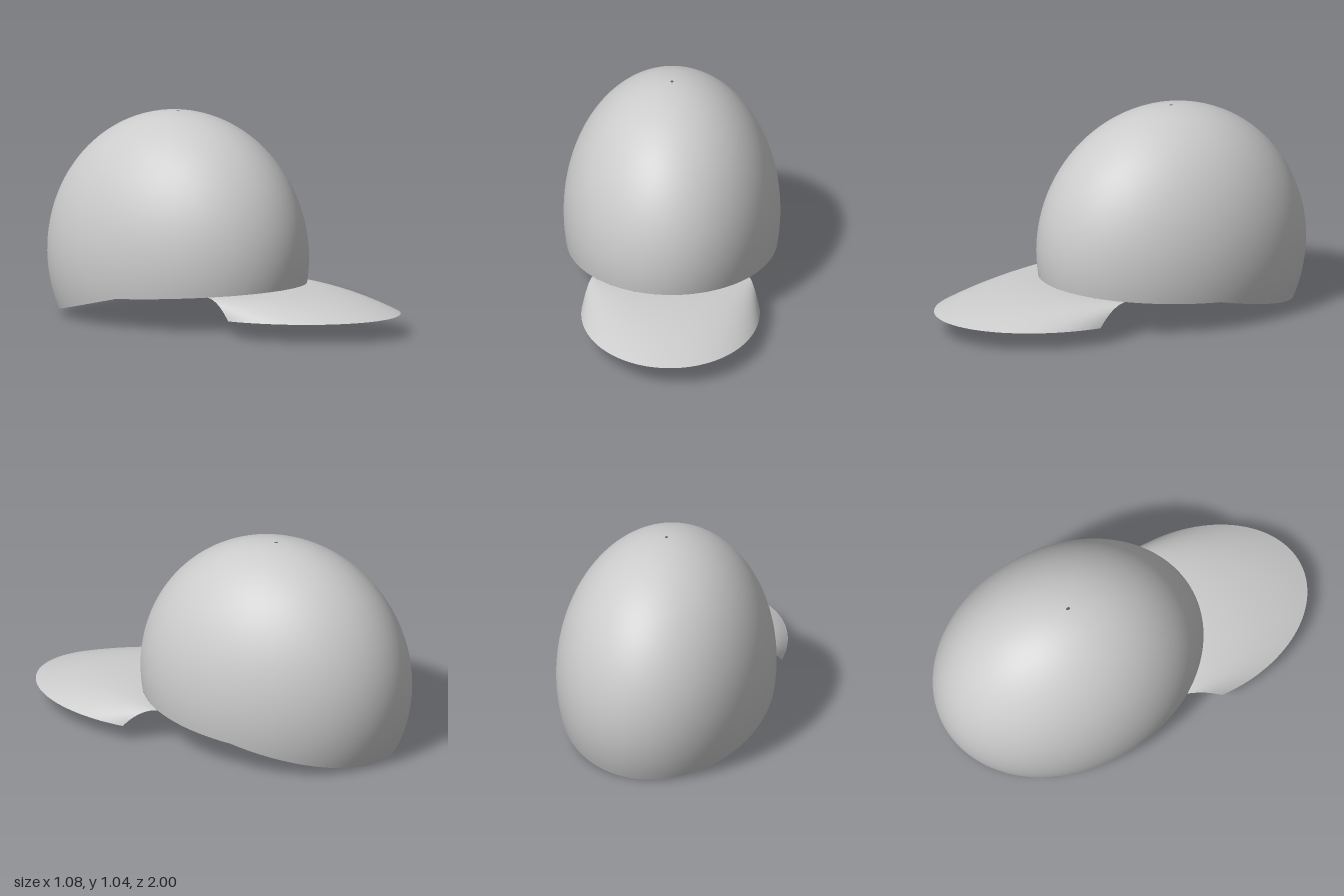
import * as THREE from 'three';

const CY = 0.32, CZ = -0.295;               // dome centre
const RX = 0.54, RY = 0.72, RZ = 0.705;     // dome radii

// Point on the dome at heading a (0 = front) and polar angle th (0 = top)
const domePoint = (a, th) => [
  RX * Math.sin(th) * Math.sin(a),
  CY + RY * Math.cos(th),
  CZ + RZ * Math.sin(th) * Math.cos(a),
];

// Polar angle where the dome is cut: the rim is bent at mid depth and dips at the back
function rimAngle(a) {
  let th = Math.PI / 2;
  for (let k = 0; k < 20; k++) {
    const dz = RZ * Math.sin(th) * Math.cos(a);
    const y = 0.155 + dz * (dz > 0 ? 0.07 : 0.242);
    th = Math.acos((y - CY) / RY);
  }
  return th;
}

// Smooth grid surface: u runs to the right, v runs down; optionally closed around u
function surface(name, nu, nv, closed, pointAt) {
  const positions = [], index = [];
  const cols = closed ? nu : nu + 1;
  for (let j = 0; j <= nv; j++)
    for (let i = 0; i < cols; i++) positions.push(...pointAt(i / nu, j / nv));
  for (let j = 0; j < nv; j++)
    for (let i = 0; i < nu; i++) {
      const n = (i + 1) % cols;
      const a = j * cols + i, b = a + cols, c = (j + 1) * cols + n, d = j * cols + n;
      index.push(a, b, d, b, c, d);
    }
  const geometry = new THREE.BufferGeometry();
  geometry.setAttribute('position', new THREE.Float32BufferAttribute(positions, 3));
  geometry.setIndex(index);
  geometry.computeVertexNormals();
  const mesh = new THREE.Mesh(geometry, new THREE.MeshStandardMaterial({ color: 0xcccccc, side: THREE.DoubleSide }));
  mesh.name = name;
  return mesh;
}

export function createModel() {
  const cap = new THREE.Group();
  cap.name = 'cap';

  // Open shell with a tiny hole at the top
  cap.add(surface('crown', 96, 48, true, (u, v) => {
    const a = u * Math.PI * 2;
    return domePoint(a, THREE.MathUtils.lerp(0.014, rimAngle(a), v));
  }));

  // Thin brim lofted from the front of the rim to an elliptical outer edge
  cap.add(surface('brim', 64, 20, false, (u, v) => {
    const s = u * 2 - 1;
    const a = s * 0.83, b = s * 1.635;
    const inner = domePoint(a, rimAngle(a));
    const z = 0.38 + 0.62 * Math.cos(b);
    const outer = [0.445 * Math.sin(b), 0.09 + 0.0227 * (z - 0.34), z];
    return [
      THREE.MathUtils.lerp(inner[0], outer[0], v),
      THREE.MathUtils.lerp(inner[1], outer[1], v * v),
      THREE.MathUtils.lerp(inner[2], outer[2], v),
    ];
  }));

  return cap;
}
